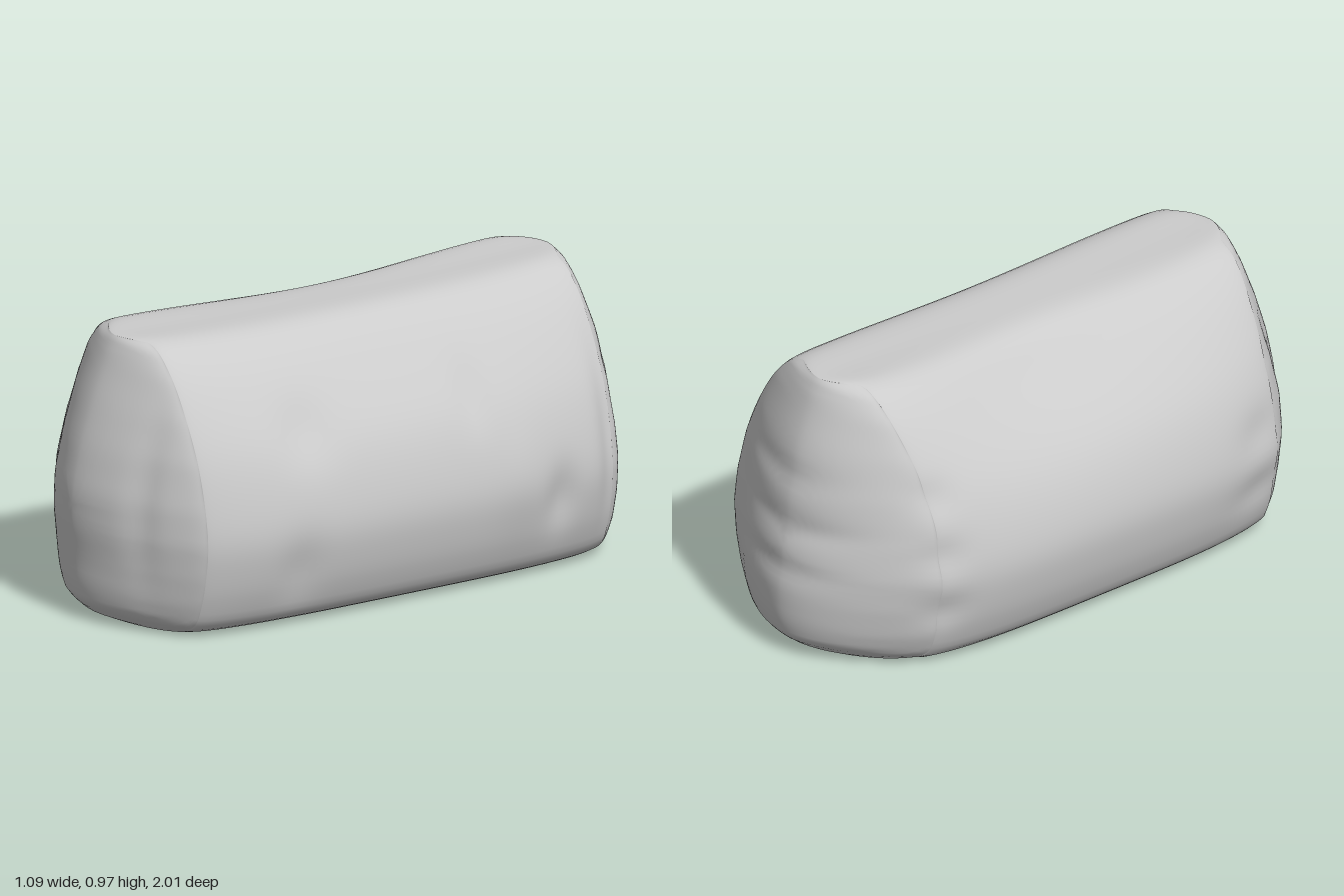
import * as THREE from 'three';
import { mergeVertices } from 'three/addons/utils/BufferGeometryUtils.js';

// half outline of the bag, bottom to top: [half width, height, front bulge, back bulge]
const HALF = [
  [0.35, 0.004, 0.10, 0.11], [0.42, 0.04, 0.17, 0.19], [0.46, 0.12, 0.19, 0.215], [0.487, 0.22, 0.195, 0.22],
  [0.5, 0.33, 0.208, 0.215], [0.485, 0.45, 0.208, 0.19], [0.44, 0.6, 0.175, 0.17], [0.37, 0.73, 0.13, 0.135],
  [0.28, 0.85, 0.08, 0.085], [0.2, 0.92, 0.055, 0.06], [0.14, 0.942, 0.045, 0.045],
];

// soft dents and puffs: centre, radii, depth towards the long axis (negative puffs out)
const DENTS = [
  // side at +x
  [0.5, 0.4, -0.76, 0.25, 0.3, 0.04, 0.02], [0.5, 0.28, -0.55, 0.2, 0.1, 0.06, 0.025],
  [0.5, 0.4, -0.38, 0.2, 0.16, 0.09, -0.01], [0.42, 0.66, -0.25, 0.2, 0.1, 0.05, 0.015],
  [0.42, 0.65, 0.38, 0.2, 0.1, 0.1, 0.02], [0.48, 0.2, 0.45, 0.15, 0.12, 0.08, 0.015],
  [0.35, 0.8, 0, 0.2, 0.2, 0.45, 0.018],
  // side at -x, with its upper slope drawn in
  [-0.35, 0.82, -0.1, 0.25, 0.25, 0.45, 0.05],
  [-0.5, 0.42, 0.62, 0.15, 0.08, 0.1, 0.015], [-0.5, 0.22, 0.62, 0.15, 0.07, 0.12, 0.015],
  [-0.4, 0.62, -0.7, 0.15, 0.06, 0.08, 0.015], [-0.43, 0.42, -0.7, 0.15, 0.06, 0.08, 0.015],
  [-0.43, 0.22, -0.7, 0.15, 0.06, 0.08, 0.015],
];
// folds pressed into the ends: x, y, radius x, radius y, depth, end (+1 front, -1 back)
const FOLDS = [
  [-0.31, 0.5, 0.05, 0.25, 0.015, 1], [0.22, 0.45, 0.05, 0.25, 0.012, 1],
  [0.08, 0.32, 0.22, 0.04, 0.012, -1], [0.0, 0.47, 0.22, 0.04, 0.01, -1],
  [0.08, 0.64, 0.2, 0.04, 0.01, -1], [0.36, 0.4, 0.05, 0.25, 0.012, -1],
];

// column k of HALF at height y (0: half width, 2 and 3: end bulges)
function atHeight(y, k) {
  for (let i = 1; i < HALF.length; i++) {
    const a = HALF[i - 1], b = HALF[i];
    if (y <= b[1]) return THREE.MathUtils.lerp(a[k], b[k], THREE.MathUtils.clamp((y - a[1]) / (b[1] - a[1]), 0, 1));
  }
  return HALF[HALF.length - 1][k];
}

// distance of a bulging end from the middle; the -x corners are rounder
function endDepth(x, y, s) {
  const k = s > 0 ? 2 : 3;
  const u = Math.min(1, Math.abs(x) / atHeight(y, 0));
  const bulge = (atHeight(y - 0.03, k) + atHeight(y, k) + atHeight(y + 0.03, k)) / 3;
  return 0.79 + bulge * (1 - Math.pow(u, 1.7)) - (x < 0 ? 0.075 * u * u * Math.min(1, bulge / 0.17) : 0);
}

const bell = (...terms) => Math.exp(-terms.reduce((sum, v) => sum + v * v, 0));

function bagGeometry() {
  // closed outline, counter-clockwise from the bottom
  const outline = [
    new THREE.Vector3(0, 0.004, 0), ...HALF.map(([x, y]) => new THREE.Vector3(x, y, 0)),
    new THREE.Vector3(0, 0.945, 0), ...HALF.map(([x, y]) => new THREE.Vector3(-x, y, 0)).reverse(),
  ];
  const N = 120;
  const ring = new THREE.CatmullRomCurve3(outline, true, 'centripetal').getSpacedPoints(N).slice(0, N);

  // rows run from the middle of the back, along the body, to the middle of the front
  const rows = [];
  const CAP = 26, BODY = 70;
  for (let i = 0; i < CAP; i++) rows.push({ t: Math.sin((i / CAP) * Math.PI / 2), s: -1 });
  for (let i = 0; i <= BODY; i++) rows.push({ t: 1, s: -Math.cos((i / BODY) * Math.PI) });
  for (let i = CAP - 1; i >= 0; i--) rows.push({ t: Math.sin((i / CAP) * Math.PI / 2), s: 1 });

  const pos = [], index = [];
  for (const { t, s } of rows) {
    const barrel = 1.045 - 0.13 * Math.pow(s, 4);
    const rim = Math.pow(t * Math.abs(s), 24);
    for (const p of ring) {
      let x = t * p.x, y = 0.4 + t * (p.y - 0.4);
      let z = s * endDepth(x, y, s);
      // barrelled sides, skewed axis, gently sagging top
      x = x * barrel - 0.042 * s;
      y += THREE.MathUtils.smoothstep(y, 0.5, 0.95) * (0.022 * s * s - 0.006 * s - 0.004);
      // rounded rim around each end
      z -= 0.01 * s * rim;
      y -= (y - 0.4) * 0.015 * rim;
      // sunken shoulder at -x
      y -= 0.025 * bell((x + 0.28) / 0.15, (y - 0.9) / 0.15, (z + 0.1) / 0.45);
      for (const [dx, dy, dz, rx, ry, rz, depth] of DENTS) {
        x -= Math.sign(dx) * depth * bell((x - dx) / rx, (y - dy) / ry, (z - dz) / rz);
      }
      for (const [fx, fy, rx, ry, depth, end] of FOLDS) {
        if (s * end > 0) z -= end * depth * Math.pow(Math.abs(s), 12) * bell((x - fx) / rx, (y - fy) / ry);
      }
      pos.push(x, Math.max(0, y), z);
    }
  }
  for (let r = 0; r < rows.length - 1; r++) {
    for (let i = 0; i < N; i++) {
      const a = r * N + i, b = r * N + (i + 1) % N;
      index.push(a, b, a + N, b, b + N, a + N);
    }
  }
  const geo = new THREE.BufferGeometry();
  geo.setAttribute('position', new THREE.Float32BufferAttribute(pos, 3));
  geo.setIndex(index);
  const merged = mergeVertices(geo, 1e-5);
  merged.computeVertexNormals();
  return merged;
}

export function createModel() {
  const group = new THREE.Group();
  group.name = 'softBag';
  const body = new THREE.Mesh(bagGeometry(), new THREE.MeshStandardMaterial({ color: 0xcccccc }));
  body.name = 'bagBody';
  group.add(body);
  return group;
}
